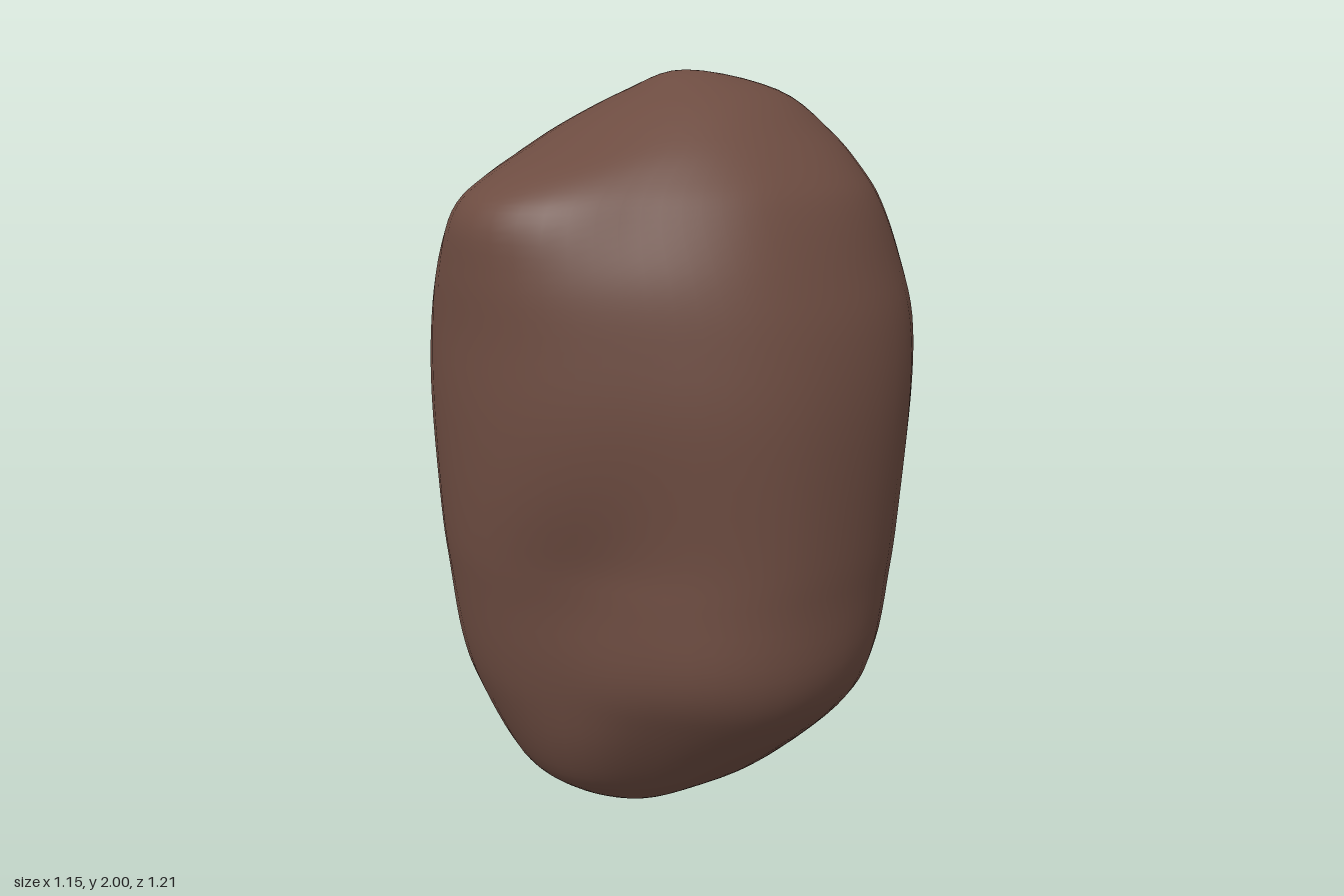
import * as THREE from 'three';

// Cross-sections: height, then reach from the axis in eight directions
// (+x, +x+z, +z, -x+z, -x, -x-z, -z, +x-z)
const SECTIONS = [
  [0.0, -0.1, -0.02, 0.07, 0.12, 0.1, 0.02, -0.07, -0.12],
  [0.03, 0.02, 0.1, 0.19, 0.24, 0.2, 0.13, 0.04, 0.0],
  [0.1, 0.14, 0.2, 0.31, 0.36, 0.26, 0.23, 0.17, 0.15],
  [0.2, 0.27, 0.29, 0.41, 0.45, 0.34, 0.32, 0.29, 0.3],
  [0.4, 0.47, 0.42, 0.5, 0.55, 0.475, 0.42, 0.4, 0.48],
  [0.55, 0.55, 0.485, 0.545, 0.59, 0.51, 0.47, 0.45, 0.54],
  [0.75, 0.56, 0.505, 0.585, 0.61, 0.545, 0.53, 0.485, 0.57],
  [0.9, 0.565, 0.505, 0.6, 0.625, 0.575, 0.56, 0.505, 0.585],
  [1.2, 0.565, 0.52, 0.605, 0.635, 0.555, 0.545, 0.55, 0.605],
  [1.4, 0.54, 0.505, 0.6, 0.625, 0.545, 0.535, 0.6, 0.6],
  [1.55, 0.49, 0.48, 0.6, 0.59, 0.525, 0.515, 0.575, 0.56],
  [1.68, 0.43, 0.425, 0.585, 0.52, 0.48, 0.47, 0.52, 0.51],
  [1.76, 0.38, 0.37, 0.5, 0.44, 0.43, 0.425, 0.475, 0.46],
  [1.85, 0.3, 0.27, 0.3, 0.33, 0.35, 0.36, 0.415, 0.38],
  [1.95, 0.165, 0.11, 0.1, 0.14, 0.21, 0.25, 0.29, 0.245],
  [2.0, -0.03, -0.06, -0.05, -0.015, 0.03, 0.06, 0.05, 0.015],
];

// Soft hollows (negative) and bumps (positive): x, y, z, size, height
const DENTS = [
  [0.12, 0.5, 0.47, 0.15, -0.025],
  [0.14, 0.72, 0.5, 0.18, -0.04],
  [0.2, 0.86, 0.47, 0.17, -0.02],
  [0.42, 0.6, 0.27, 0.16, 0.02],
  [0.08, 1.12, -0.54, 0.2, -0.015],
];

const SIDES = 56;
const STEPS = 5;

function spline(a, b, c, d, t) {
  return b + 0.5 * t * (c - a + t * (2 * a - 5 * b + 4 * c - d + t * (3 * (b - c) + d - a)));
}

// Section past a pole: the neighbouring section seen from the other side
function sectionAt(i) {
  const n = SECTIONS.length;
  if (i >= 0 && i < n) return SECTIONS[i];
  const s = SECTIONS[i < 0 ? 1 : n - 2];
  return [s[0], ...s.slice(1).map((_, k) => -s[1 + ((k + 4) % 8)])];
}

function bodyPoint(row, angle) {
  const [y, ...reach] = row;
  const cx = (reach[0] - reach[4]) / 2;
  const cz = (reach[2] - reach[6]) / 2;
  const radii = reach.map((r, k) => r - cx * Math.cos(k * Math.PI / 4) - cz * Math.sin(k * Math.PI / 4));
  const u = angle / (Math.PI / 4);
  const k = Math.floor(u);
  const r = spline(radii[(k + 7) % 8], radii[k % 8], radii[(k + 1) % 8], radii[(k + 2) % 8], u - k);
  const dx = Math.cos(angle), dz = Math.sin(angle);
  const x = cx + r * dx, z = cz + r * dz;
  let push = 0;
  for (const [px, py, pz, size, height] of DENTS) {
    const d2 = (x - px) ** 2 + (y - py) ** 2 + (z - pz) ** 2;
    push += height * Math.exp(-d2 / (size * size));
  }
  return [x + dx * push, y, z + dz * push];
}

function bodyGeometry() {
  // Smooth rows between the sections, without the two poles
  const rows = [];
  for (let i = 0; i < SECTIONS.length - 1; i++) {
    const [a, b, c, d] = [-1, 0, 1, 2].map((o) => sectionAt(i + o));
    for (let s = 0; s < STEPS; s++) rows.push(b.map((v, k) => spline(a[k], v, c[k], d[k], s / STEPS)));
  }
  rows.shift();

  const positions = [];
  for (const row of rows) {
    for (let i = 0; i < SIDES; i++) positions.push(...bodyPoint(row, (i / SIDES) * Math.PI * 2));
  }
  const bottom = rows.length * SIDES, top = bottom + 1;
  for (const s of [SECTIONS[0], SECTIONS[SECTIONS.length - 1]]) positions.push(s[1], s[0], s[3]);

  const index = [];
  for (let i = 0; i < SIDES; i++) {
    const n = (i + 1) % SIDES;
    for (let j = 0; j < rows.length - 1; j++) {
      const lo = j * SIDES, hi = lo + SIDES;
      index.push(lo + i, hi + i, lo + n, hi + i, hi + n, lo + n);
    }
    const last = (rows.length - 1) * SIDES;
    index.push(bottom, i, n, last + i, top, last + n);
  }
  const geometry = new THREE.BufferGeometry();
  geometry.setAttribute('position', new THREE.Float32BufferAttribute(positions, 3));
  geometry.setIndex(index);
  geometry.computeVertexNormals();
  return geometry;
}

export function createModel() {
  const brown = new THREE.MeshStandardMaterial({ color: 0x6d4c41 });
  brown.name = 'earthy brown';
  const body = new THREE.Mesh(bodyGeometry(), brown);
  body.name = 'lumpyBody';
  const group = new THREE.Group();
  group.name = 'lumpyStone';
  group.add(body);
  return group;
}
